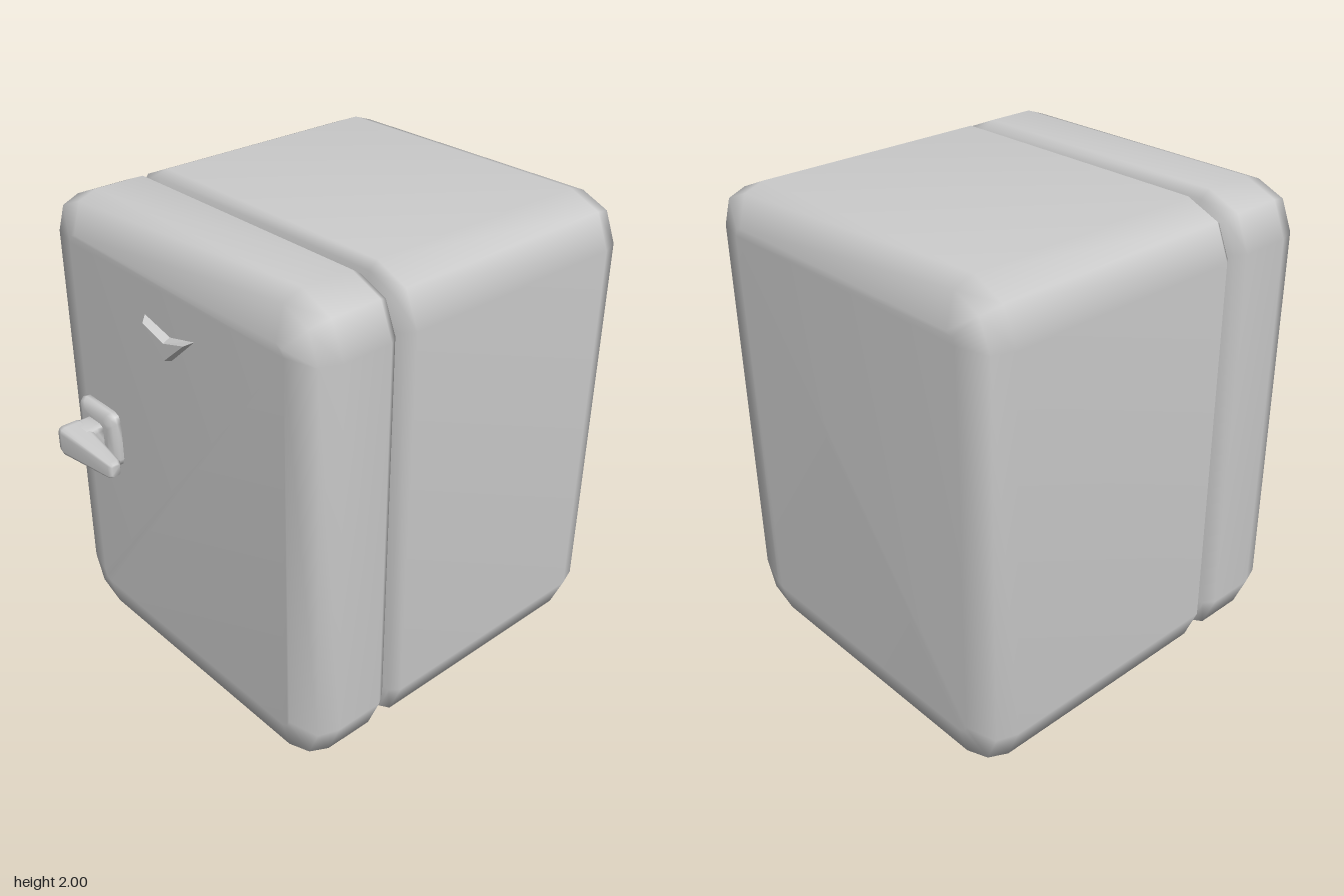
import * as THREE from 'three';

// Rounded rectangle outline (two segments per corner), counter-clockwise, at depth z
function ring(cx, cy, halfW, halfH, r, z) {
  const pts = [];
  [[1, 1], [-1, 1], [-1, -1], [1, -1]].forEach(([sx, sy], q) => {
    for (let k = 0; k <= 2; k++) {
      const a = (q + k / 2) * Math.PI / 2;
      pts.push([cx + sx * (halfW - r) + r * Math.cos(a), cy + sy * (halfH - r) + r * Math.sin(a), z]);
    }
  });
  return pts;
}

// Closed skin over outlines ordered by rising z, with both ends capped
function loft(rings) {
  const n = rings[0].length, last = (rings.length - 1) * n, index = [];
  for (let j = 0; j < last; j += n) {
    for (let i = 0; i < n; i++) {
      const k = (i + 1) % n;
      index.push(j + i, j + k, j + n + k, j + i, j + n + k, j + n + i);
    }
  }
  for (let i = 1; i < n - 1; i++) {
    index.push(0, i + 1, i, last, last + i, last + i + 1);
  }
  const g = new THREE.BufferGeometry();
  g.setAttribute('position', new THREE.Float32BufferAttribute(rings.flat(2), 3));
  g.setIndex(index);
  g.computeVertexNormals();
  return g;
}

export function createModel() {
  const group = new THREE.Group();
  const smooth = new THREE.MeshStandardMaterial({ color: 0xcccccc });
  const flat = new THREE.MeshStandardMaterial({ color: 0xcccccc, flatShading: true });
  const add = (name, geometry, material = smooth) => {
    const mesh = new THREE.Mesh(geometry, material);
    mesh.name = name;
    group.add(mesh);
  };

  // Cabinet and door: [inset, z] steps with softened front and back edges
  const shell = (steps) => loft(steps.map(([d, z]) => ring(0, 1, 0.8 - d, 1 - d, 0.2 - d, z)));
  add('cabinet', shell([[0.16, -0.9], [0.03, -0.865], [0, -0.78], [0, 0.25], [0.03, 0.288], [0.16, 0.3]]));
  add('door', shell([[0.16, 0.3], [0.03, 0.325], [0, 0.37], [0, 0.585], [0.03, 0.668], [0.16, 0.702]]));

  // Handle plate and post
  add('handlePlate', loft([
    ring(-0.52, 1.005, 0.13, 0.125, 0.04, 0.69),
    ring(-0.52, 1.005, 0.13, 0.125, 0.04, 0.72),
    ring(-0.52, 1.005, 0.12, 0.115, 0.04, 0.738),
    ring(-0.52, 1.005, 0.09, 0.085, 0.03, 0.746),
  ]));
  add('handlePost', loft([
    ring(-0.52, 1.005, 0.062, 0.062, 0.025, 0.73),
    ring(-0.52, 1.005, 0.06, 0.06, 0.025, 0.77),
    ring(-0.515, 1.005, 0.065, 0.06, 0.025, 0.82),
  ]));

  // Tapering lever: [x, half height, back z, front z], lofted along z then turned to run along x
  const lever = [
    [-0.583, 0.045, 0.795, 0.875],
    [-0.57, 0.06, 0.78, 0.89],
    [-0.545, 0.063, 0.777, 0.895],
    [-0.24, 0.036, 0.815, 0.872],
    [-0.226, 0.026, 0.824, 0.862],
  ].map(([x, h, back, front]) => ring(-(back + front) / 2, 1.005, (front - back) / 2, h, h * 0.35, x));
  add('handleLever', loft(lever).rotateY(Math.PI / 2));

  // Chevron ornament with bevelled sides
  add('chevron', loft([
    [[0, 1.53, 0.695], [0.157, 1.672, 0.695], [0, 1.633, 0.695], [-0.157, 1.672, 0.695]],
    [[0, 1.545, 0.733], [0.125, 1.652, 0.733], [0, 1.615, 0.733], [-0.125, 1.652, 0.733]],
  ]), flat);

  return group;
}
